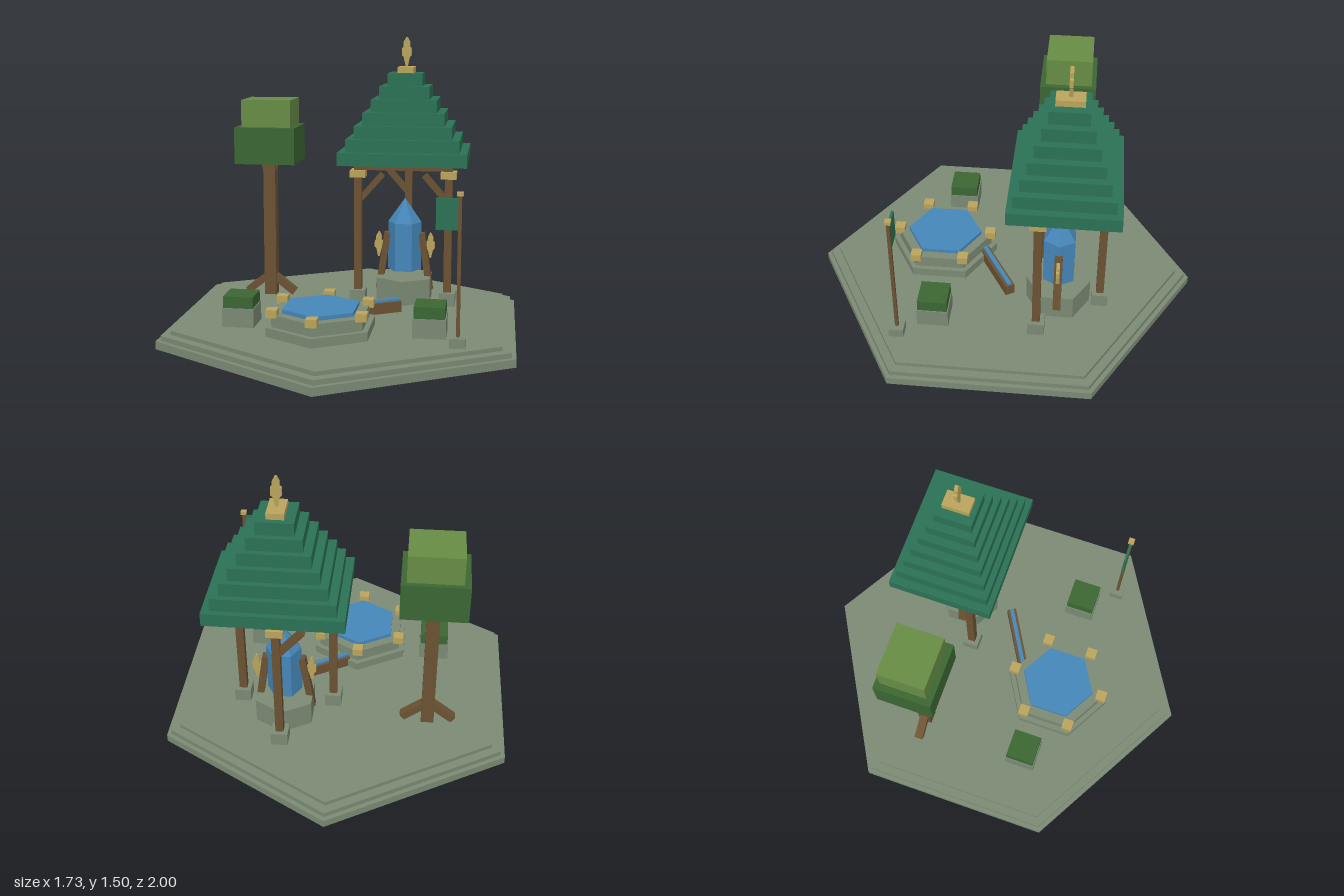
import * as THREE from 'three';

const mat = (name, color) => {
  const m = new THREE.MeshStandardMaterial({ color });
  m.name = name;
  return m;
};

export function createModel() {
  const root = new THREE.Group();
  root.name = 'gardenShrine';
  const stone = mat('stone', 0x7b8974), wood = mat('wood', 0x6b5232), roofGreen = mat('roofGreen', 0x2b7154);
  const leafDark = mat('darkLeaf', 0x3c6633), leafLight = mat('lightLeaf', 0x668b45);
  const gold = mat('gold', 0xb9a35c), blue = mat('blue', 0x4586b8);
  const GROUND = 0.085;

  const group = (name) => {
    const g = new THREE.Group();
    g.name = name;
    root.add(g);
    return g;
  };
  const add = (parent, name, geometry, material, x, y, z) => {
    const m = new THREE.Mesh(geometry, material);
    m.name = name;
    m.position.set(x, y, z);
    parent.add(m);
    return m;
  };
  // Box given by its bottom and top heights
  const box = (parent, name, material, x, z, w, d, y0, y1) =>
    add(parent, name, new THREE.BoxGeometry(w, y1 - y0, d), material, x, (y0 + y1) / 2, z);
  // Flat-sided hexagonal prism with a corner towards +z
  const hex = (parent, name, material, x, z, r, y0, y1, rTop = r) => {
    const g = new THREE.CylinderGeometry(rTop, r, y1 - y0, 6).toNonIndexed();
    g.computeVertexNormals();
    return add(parent, name, g, material, x, (y0 + y1) / 2, z);
  };
  // Square bar between two points
  const bar = (parent, name, material, a, b, w, d = w) => {
    const p = new THREE.Vector3(...a), q = new THREE.Vector3(...b);
    const dir = q.clone().sub(p);
    const m = add(parent, name, new THREE.BoxGeometry(w, dir.length(), d), material, 0, 0, 0);
    m.position.copy(p).add(q).multiplyScalar(0.5);
    m.quaternion.setFromUnitVectors(new THREE.Vector3(0, 1, 0), dir.normalize());
    return m;
  };

  // Stepped hexagonal platform
  const platform = group('platform');
  hex(platform, 'lowerStep', stone, 0, 0, 1, 0, 0.04);
  hex(platform, 'middleStep', stone, 0, 0, 0.975, 0.04, 0.065);
  hex(platform, 'upperStep', stone, 0, 0, 0.925, 0.065, GROUND);

  // Gold leaf-shaped ornament, standing on its lower tip
  const half = [[0.005, 0], [0.016, 0.05], [0.026, 0.06], [0.026, 0.098], [0.017, 0.103], [0.017, 0.13], [0.004, 0.155]];
  const outline = [...half, ...half.map(([x, y]) => [-x, y]).reverse()];
  const ornamentGeo = new THREE.ExtrudeGeometry(
    new THREE.Shape(outline.map(([x, y]) => new THREE.Vector2(x, y))), { depth: 0.018, bevelEnabled: false });
  ornamentGeo.translate(0, 0, -0.009);

  // Pavilion: three posts in a triangle, joined by beams
  const pavilion = group('pavilion');
  const cx = 0.27, rz = -0.325, pz = -0.303;
  const posts = [[0.03, -0.205, 1], [0.508, -0.205, -1], [cx, -0.52, -1]];
  posts.forEach(([x, z, side], i) => {
    box(pavilion, 'postFoot', stone, x, z, 0.085, 0.085, GROUND, 0.155);
    box(pavilion, 'post', wood, x, z, 0.04, 0.04, 0.155, 0.84);
    box(pavilion, 'postCapital', gold, x, z, 0.082, 0.082, 0.765, 0.803);
    bar(pavilion, 'brace', wood, [x + side * 0.01, 0.645, z], [x + side * 0.128, 0.78, z], 0.032);
    const [nx, nz] = posts[(i + 1) % 3];
    bar(pavilion, 'beam', wood, [x, 0.821, z], [nx, 0.821, nz], 0.036);
  });

  // Stepped roof
  const roof = group('roof');
  for (let i = 0; i < 7; i++) {
    const y = 0.84 + i * 0.067;
    box(roof, 'roofTier', roofGreen, cx, rz, 0.67 - i * 0.0815, 0.535 - i * 0.057, y, y + 0.067);
  }
  box(roof, 'roofCap', gold, cx, rz, 0.085, 0.138, 1.309, 1.34);
  add(roof, 'finial', ornamentGeo, gold, cx, 1.34, rz);

  // Crystal held by two leaning supports on a pedestal
  const shrine = group('crystalShrine');
  hex(shrine, 'pedestal', stone, cx, pz, 0.165, GROUND, 0.215);
  hex(shrine, 'crystalBody', blue, cx, pz, 0.09, 0.25, 0.51).rotation.y = Math.PI / 6;
  hex(shrine, 'crystalTip', blue, cx, pz, 0.09, 0.51, 0.64, 0).rotation.y = Math.PI / 6;
  for (const s of [-1, 1]) {
    bar(shrine, 'support', wood, [cx + s * 0.138, 0.14, pz], [cx + s * 0.092, 0.45, pz], 0.035, 0.04);
    add(shrine, 'sideOrnament', ornamentGeo, gold, cx + s * 0.14, 0.315, pz).scale.set(0.87, 0.87, 1);
  }

  // Hexagonal pool with gold corner blocks
  const pool = group('pool');
  const px = -0.075, poolZ = 0.34;
  hex(pool, 'poolStep', stone, px, poolZ, 0.285, GROUND, 0.13);
  hex(pool, 'poolWall', stone, px, poolZ, 0.255, 0.13, 0.19);
  hex(pool, 'poolWater', blue, px, poolZ, 0.2, 0.19, 0.21);
  for (let i = 0; i < 6; i++) {
    const a = (i * Math.PI) / 3;
    box(pool, 'cornerBlock', gold, px + Math.sin(a) * 0.25, poolZ + Math.cos(a) * 0.25, 0.055, 0.055, 0.18, 0.22);
  }

  // Wooden channel carrying water from the shrine to the pool
  const channel = group('channel');
  channel.position.set(0.125, 0, 0.032);
  channel.rotation.y = Math.PI / 6;
  box(channel, 'trough', wood, 0, 0, 0.335, 0.05, GROUND, 0.142);
  box(channel, 'channelWater', blue, 0, 0, 0.325, 0.022, 0.142, 0.154);

  // Tree with roots and branches
  const tree = group('tree');
  const tx = -0.468, tz = -0.295;
  box(tree, 'trunk', wood, tx, tz, 0.066, 0.068, GROUND, 0.84);
  box(tree, 'lowerCanopy', leafDark, tx, tz, 0.325, 0.29, 0.825, 1.02);
  box(tree, 'upperCanopy', leafLight, tx + 0.003, tz - 0.003, 0.265, 0.237, 1.02, 1.165);
  for (const s of [-1, 1]) {
    bar(tree, 'root', wood, [tx + s * 0.132, 0.098, tz], [tx + s * 0.02, 0.185, tz], 0.038, 0.045);
    bar(tree, 'branch', wood, [tx + s * 0.012, 0.76, tz], [tx + s * 0.052, 0.86, tz], 0.03);
  }

  // Mossy rocks
  const rocks = group('mossyRocks');
  for (const [x, z] of [[-0.49, 0.28], [0.455, 0.32]]) {
    box(rocks, 'rock', stone, x, z, 0.16, 0.16, GROUND, 0.18);
    box(rocks, 'moss', leafDark, x, z, 0.15, 0.15, 0.18, 0.238);
  }

  // Flagpole
  const flag = group('flagpole');
  const fx = 0.595, fz = 0.49;
  box(flag, 'poleFoot', stone, fx, fz, 0.075, 0.075, GROUND, 0.132);
  box(flag, 'pole', wood, fx, fz, 0.017, 0.017, 0.132, 0.795);
  box(flag, 'poleCap', gold, fx, fz, 0.03, 0.03, 0.795, 0.813);
  box(flag, 'banner', roofGreen, fx - 0.057, fz, 0.105, 0.012, 0.635, 0.783);

  return root;
}
